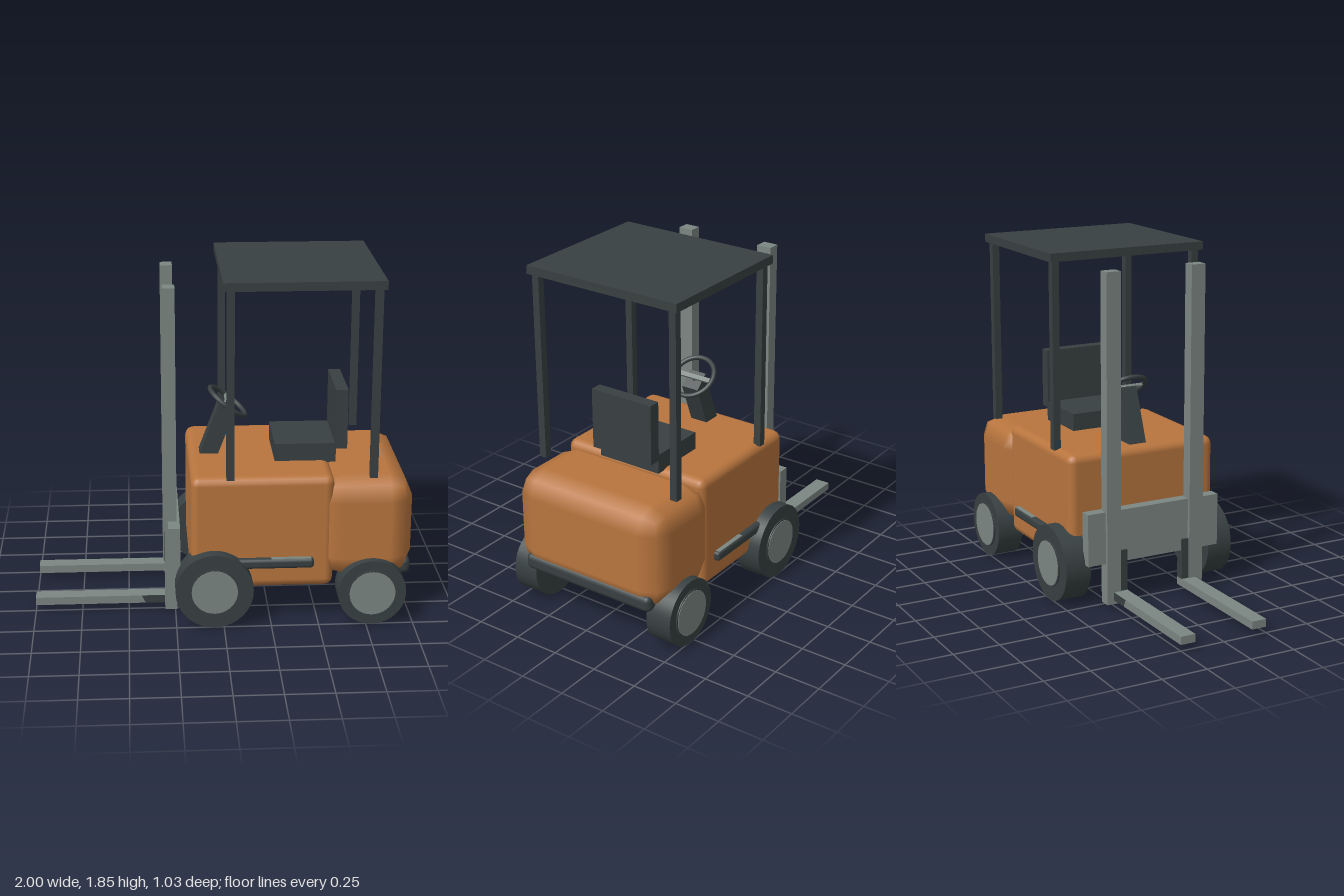
import * as THREE from 'three';
import { RoundedBoxGeometry } from 'three/addons/geometries/RoundedBoxGeometry.js';

export function createModel() {
  const root = new THREE.Group();
  root.name = 'forkliftTruck';
  const material = (name, color) => {
    const m = new THREE.MeshStandardMaterial({ color });
    m.name = name;
    return m;
  };
  const orange = material('orange paint', 0xb8753e);
  const dark = material('dark rubber', 0x384041);
  const grey = material('grey steel', 0x7b8681);

  const add = (name, geometry, mat, parent = root) => {
    const mesh = new THREE.Mesh(geometry, mat);
    mesh.name = name;
    parent.add(mesh);
    return mesh;
  };
  // Boxes given by their extents on each axis
  const box = (name, mat, [x0, x1], [y0, y1], [z0, z1], radius = 0, segments = 2) => {
    const size = [x1 - x0, y1 - y0, z1 - z0];
    const geometry = radius
      ? new RoundedBoxGeometry(...size, segments, radius)
      : new THREE.BoxGeometry(...size);
    const mesh = add(name, geometry, mat);
    mesh.position.set((x0 + x1) / 2, (y0 + y1) / 2, (z0 + z1) / 2);
    return mesh;
  };
  // Same box on both sides of the truck
  const pair = (name, mat, x, y, [z0, z1], radius) => {
    box(name, mat, x, y, [z0, z1], radius);
    box(name, mat, x, y, [-z1, -z0], radius);
  };

  // Bodywork
  box('chassis', orange, [-0.17, 0.58], [0.19, 0.81], [-0.437, 0.437], 0.045);
  box('counterweight', orange, [0.5, 1.0], [0.23, 0.79], [-0.463, 0.463], 0.125, 1);
  box('rearBumper', dark, [0.9, 0.995], [0.235, 0.325], [-0.4, 0.4], 0.03);
  pair('sideStep', dark, [0.03, 0.475], [0.31, 0.365], [0.4, 0.468], 0.018);
  pair('stepTread', grey, [0.25, 0.46], [0.361, 0.367], [0.438, 0.462]);

  // Overhead guard
  box('roof', dark, [-0.005, 0.817], [1.805, 1.85], [-0.455, 0.455]);
  for (const x of [0.015, 0.76]) pair('roofPost', dark, [x, x + 0.04], [0.8, 1.81], [0.397, 0.437]);

  // Seat
  box('seatCushion', dark, [0.285, 0.61], [0.8, 0.905], [-0.185, 0.185]);
  box('seatBack', dark, [0.605, 0.67], [0.873, 1.2], [-0.185, 0.185]);

  // Steering column, leaning back
  const columnShape = new THREE.Shape([
    new THREE.Vector2(-0.112, 0.8), new THREE.Vector2(-0.012, 0.8),
    new THREE.Vector2(0.075, 1.03), new THREE.Vector2(0.0, 1.1),
  ]);
  const column = new THREE.ExtrudeGeometry(columnShape, { depth: 0.1, bevelEnabled: false });
  add('steeringColumn', column.translate(0, 0, -0.05), dark);

  // Steering wheel, facing the seat
  const steering = new THREE.Group();
  steering.name = 'steeringWheel';
  steering.position.set(0.045, 1.088, 0);
  steering.rotation.z = -Math.atan2(0.165, 0.21);
  root.add(steering);
  add('steeringRim', new THREE.TorusGeometry(0.119, 0.013, 10, 32).rotateX(Math.PI / 2), dark, steering);
  add('steeringSpoke', new THREE.BoxGeometry(0.025, 0.015, 0.23), grey, steering);
  add('steeringShaft', new THREE.CylinderGeometry(0.015, 0.015, 0.06, 12).translate(0, -0.03, 0), grey, steering);

  // Mast, carriage and forks
  pair('mastRail', grey, [-0.305, -0.24], [0.01, 1.785], [0.208, 0.29]);
  box('forkCarriage', grey, [-0.288, -0.225], [0.235, 0.52], [-0.393, 0.393]);
  pair('fork', grey, [-1, -0.25], [0.032, 0.075], [0.167, 0.25]);
  pair('forkShank', dark, [-0.3, -0.25], [0.075, 0.3], [0.167, 0.248]);

  // Dark heel plates on the outer side of each fork
  const heel = new THREE.Shape([
    new THREE.Vector2(-0.41, 0.032), new THREE.Vector2(-0.3, 0.032),
    new THREE.Vector2(-0.3, 0.075), new THREE.Vector2(-0.43, 0.075),
  ]);
  for (const z of [0.249, -0.252]) {
    const plate = new THREE.ExtrudeGeometry(heel, { depth: 0.003, bevelEnabled: false });
    add('forkHeel', plate.translate(0, 0, z), dark);
  }

  // Wheels: tyre, raised rim and hub cap
  const disc = (name, mat, radius, z0, z1, parent) => {
    const geometry = new THREE.CylinderGeometry(radius, radius, z1 - z0, 40).rotateX(Math.PI / 2);
    add(name, geometry.translate(0, 0, (z0 + z1) / 2), mat, parent);
  };
  for (const [name, x, radius] of [['frontWheel', -0.05, 0.205], ['rearWheel', 0.78, 0.18]]) {
    for (const side of [1, -1]) {
      const wheel = new THREE.Group();
      wheel.name = name;
      wheel.position.set(x, radius, 0);
      if (side < 0) wheel.rotation.y = Math.PI;
      root.add(wheel);
      disc('tyre', dark, radius, 0.36, 0.505, wheel);
      disc('rim', dark, 0.128, 0.5, 0.512, wheel);
      disc('hubCap', grey, 0.121, 0.505, 0.515, wheel);
    }
  }
  return root;
}
